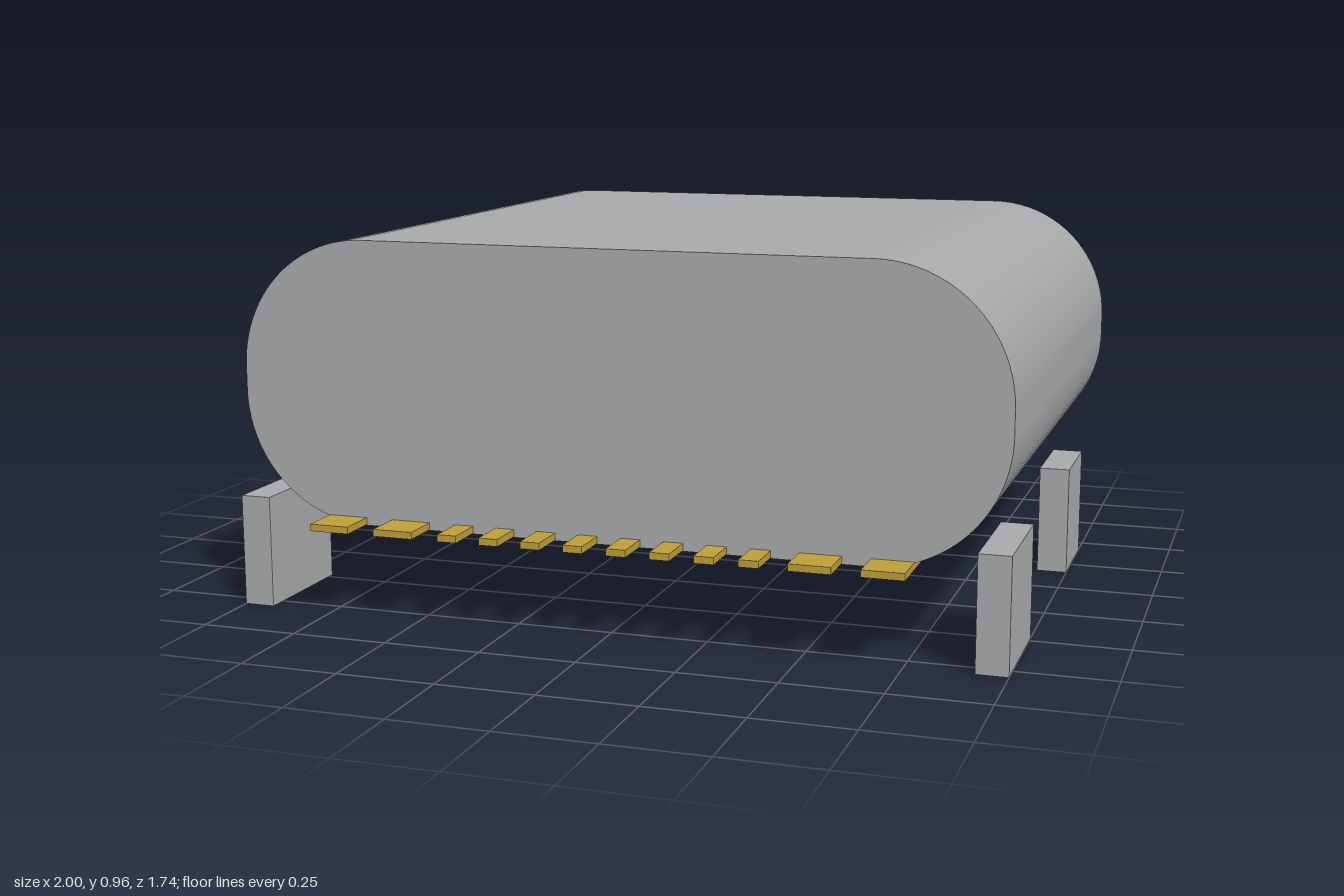
import * as THREE from 'three';

const HALF_W = 0.992, Y0 = 0.228, Y1 = 0.96, CORNER = 0.335, WALL = 0.045;
const BACK = -0.87, FRONT = 0.765;
const MID_Y = (Y0 + Y1) / 2;

// Rounded-rectangle outline of the shell, shrunk by an inset
function outline(PathType, inset) {
  const w = HALF_W - inset, h = (Y1 - Y0) / 2 - inset, r = CORNER - inset;
  const p = new PathType();
  p.absarc(w - r, h - r, r, 0, Math.PI / 2);
  p.absarc(-w + r, h - r, r, Math.PI / 2, Math.PI);
  p.absarc(-w + r, -h + r, r, Math.PI, Math.PI * 1.5);
  p.absarc(w - r, -h + r, r, Math.PI * 1.5, Math.PI * 2);
  p.closePath();
  return p;
}

// Smooth wall following an outline; its normals are those of the corner arcs
function sleeve(inset, z0, z1, inward) {
  const w = HALF_W - inset, h = (Y1 - Y0) / 2 - inset, r = CORNER - inset, steps = 20;
  const pos = [], nor = [], idx = [];
  const corners = [[1, 1], [-1, 1], [-1, -1], [1, -1]];
  corners.forEach(([sx, sy], q) => {
    for (let i = 0; i <= steps; i++) {
      const a = (q + i / steps) * Math.PI / 2, c = Math.cos(a), s = Math.sin(a);
      const k = inward ? -1 : 1;
      for (const z of [z0, z1]) {
        pos.push(sx * (w - r) + r * c, sy * (h - r) + r * s, z);
        nor.push(k * c, k * s, 0);
      }
    }
  });
  const n = pos.length / 6;
  for (let i = 0; i < n; i++) {
    const a = 2 * i, b = 2 * ((i + 1) % n);
    if (inward) idx.push(a, a + 1, b, b, a + 1, b + 1);
    else idx.push(a, b, a + 1, b, b + 1, a + 1);
  }
  const g = new THREE.BufferGeometry();
  g.setAttribute('position', new THREE.Float32BufferAttribute(pos, 3));
  g.setAttribute('normal', new THREE.Float32BufferAttribute(nor, 3));
  g.setIndex(idx);
  return g;
}

export function createModel() {
  const model = new THREE.Group();
  model.name = 'connectorSocket';

  const material = (name, color) => {
    const m = new THREE.MeshStandardMaterial({ color });
    m.name = name;
    return m;
  };
  const steel = material('steel', 0xa7a8aa);
  const gold = material('gold', 0xbd9d3a);
  const black = material('blackPlastic', 0x1f1f1f);

  const add = (parent, name, geometry, mat) => {
    const mesh = new THREE.Mesh(geometry, mat);
    mesh.name = name;
    parent.add(mesh);
    return mesh;
  };
  const box = (parent, name, mat, [x0, x1], [y0, y1], [z0, z1]) => {
    const m = add(parent, name, new THREE.BoxGeometry(x1 - x0, y1 - y0, z1 - z0), mat);
    m.position.set((x0 + x1) / 2, (y0 + y1) / 2, (z0 + z1) / 2);
  };

  // Shell: hollow sleeve, open at the back and closed at the front
  const shell = new THREE.Group();
  shell.name = 'shell';
  shell.position.y = MID_Y;
  model.add(shell);
  const floorZ = FRONT - WALL;
  add(shell, 'outerWall', sleeve(0, BACK, FRONT, false), steel);
  add(shell, 'innerWall', sleeve(WALL, BACK, floorZ, true), steel);

  const rimShape = outline(THREE.Shape, 0);
  rimShape.holes.push(outline(THREE.Path, WALL));
  const rim = add(shell, 'rim', new THREE.ShapeGeometry(rimShape, 20), steel);
  rim.rotation.y = Math.PI;
  rim.position.z = BACK;

  add(shell, 'frontCap', new THREE.ShapeGeometry(outline(THREE.Shape, 0), 20), steel).position.z = FRONT;
  const floor = add(shell, 'cavityFloor', new THREE.ShapeGeometry(outline(THREE.Shape, WALL), 20), steel);
  floor.rotation.y = Math.PI;
  floor.position.z = floorZ;

  // Contact tongue inside the cavity
  box(model, 'tongue', black, [-0.705, 0.705], [MID_Y - 0.085, MID_Y + 0.085], [-0.79, floorZ]);

  // Contact pins under the front edge: [centre x, width]
  const pins = [[0.056, 0.05], [0.167, 0.05], [0.278, 0.05], [0.389, 0.05], [0.537, 0.105], [0.713, 0.105]];
  // Mounting legs: z ranges
  const legs = [['frontLeg', [0.48, 0.8]], ['backLeg', [-0.42, -0.16]]];
  for (const side of [-1, 1]) {
    for (const [x, w] of pins) {
      box(model, 'pin', gold, [side * x - w / 2, side * x + w / 2], [0.23, 0.248], [0.7, 0.87]);
    }
    for (const [name, z] of legs) {
      box(model, name, steel, [side * 0.96 - 0.04, side * 0.96 + 0.04], [0, 0.29], z);
    }
  }
  return model;
}
